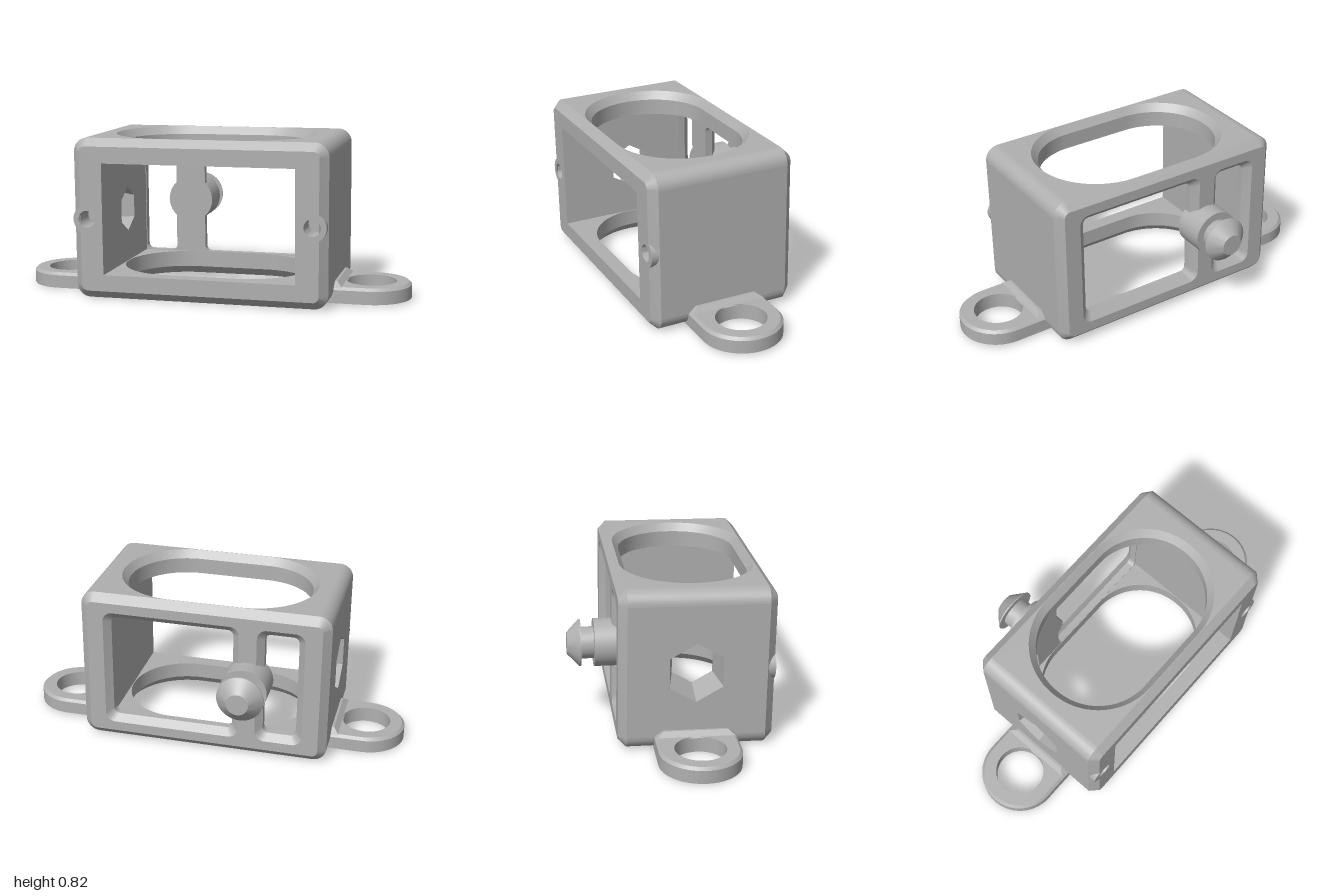
import * as THREE from 'three';
import { toCreasedNormals } from 'three/addons/utils/BufferGeometryUtils.js';

// Housing half sizes, z ends, chamfer, corner radius; cavity half sizes
const W = 0.64, H = 0.4025, ZF = 0.483, ZB = -0.273, C = 0.04, R = 0.07;
const CW = 0.485, CH = 0.28, ZI = -0.2;

const V = (x, y) => new THREE.Vector2(x, y);

// Arc points around a centre
function arc(cx, cy, r, a0, a1, n = 8) {
  return Array.from({ length: n + 1 }, (_, i) => {
    const a = a0 + (a1 - a0) * i / n;
    return V(cx + r * Math.cos(a), cy + r * Math.sin(a));
  });
}

// Rounded rectangle loop, counter-clockwise
function rect(x0, x1, y0, y1, r = 0, n = 8) {
  if (r === 0) return [V(x0, y0), V(x1, y0), V(x1, y1), V(x0, y1)];
  const q = Math.PI / 2;
  return [
    ...arc(x0 + r, y0 + r, r, 2 * q, 3 * q, n), ...arc(x1 - r, y0 + r, r, 3 * q, 4 * q, n),
    ...arc(x1 - r, y1 - r, r, 0, q, n), ...arc(x0 + r, y1 - r, r, q, 2 * q, n),
  ];
}

// Flat panel with holes at depth z
function face(outline, holes, z) {
  const s = new THREE.Shape(outline);
  s.holes = holes.map(h => new THREE.Path(h));
  return new THREE.ShapeGeometry(s).translate(0, 0, z);
}

// Strip joining two loops of equal point count
function band(a, za, b, zb, closed = true) {
  const p = [], n = a.length;
  for (let i = 0; i < (closed ? n : n - 1); i++) {
    const j = (i + 1) % n;
    p.push(a[i].x, a[i].y, za, a[j].x, a[j].y, za, b[j].x, b[j].y, zb);
    p.push(a[i].x, a[i].y, za, b[j].x, b[j].y, zb, b[i].x, b[i].y, zb);
  }
  const g = new THREE.BufferGeometry();
  g.setAttribute('position', new THREE.Float32BufferAttribute(p, 3));
  return g;
}

export function createModel() {
  const grey = new THREE.MeshStandardMaterial({ color: 0xb0b0b0, side: THREE.DoubleSide });
  grey.name = 'grey plastic';
  const model = new THREE.Group();
  model.name = 'bracketHousing';

  const part = (parent, name, geos, orient = g => g) => {
    const group = new THREE.Group();
    group.name = name;
    for (const g of geos) {
      const mesh = new THREE.Mesh(toCreasedNormals(orient(g), 0.5), grey);
      mesh.name = name + 'Surface';
      group.add(mesh);
    }
    parent.add(group);
    return group;
  };

  const box = new THREE.Group();
  box.name = 'housing';
  box.position.y = 0.4075;
  model.add(box);
  const outer = rect(-W, W, -H, H, R), inset = rect(-W + C, W - C, -H + C, H - C, R - C);

  // Front frame, notched where the screw bosses sit
  const bx = 0.567, br = 0.069, na = Math.acos((W - C - bx) / br);
  const ix = W - C, iy = H - C, q = Math.PI / 2, cr = R - C;
  const frontOutline = [
    ...arc(-ix + cr, -iy + cr, cr, 2 * q, 3 * q), ...arc(ix - cr, -iy + cr, cr, 3 * q, 4 * q),
    ...arc(bx, 0, br, -na, na - 4 * q, 24),
    ...arc(ix - cr, iy - cr, cr, 0, q), ...arc(-ix + cr, iy - cr, cr, q, 2 * q),
    ...arc(-bx, 0, br, 2 * q - na, na - 2 * q, 24),
  ];
  part(box, 'frontFrame', [
    face(frontOutline, [rect(-CW, CW, -CH, CH)], ZF),
    band(outer, ZF - C, inset, ZF),
  ]);

  // Screw bosses with pilot holes
  for (const s of [-1, 1]) {
    const profile = [V(0, 0.35), V(0.042, 0.35), V(0.042, ZF), V(0.07, ZF), V(0.07, 0.4)];
    part(box, s > 0 ? 'leftScrewBoss' : 'rightScrewBoss', [new THREE.LatheGeometry(profile, 32)],
      g => g.rotateX(Math.PI / 2).translate(s * bx, 0, 0));
  }

  // Back frame: two bevelled windows separated by a post
  const windows = [[-0.482, -0.31], [-0.15, 0.482]];
  const win = (e, r) => windows.map(([a, b]) => rect(a - e, b + e, -CH + 0.003 - e, CH - 0.003 + e, r));
  const small = win(0, 0.03), large = win(0.035, 0.05);
  part(box, 'backFrame', [
    face(inset, large, ZB),
    band(inset, ZB, outer, ZB + C),
    face(rect(-CW, CW, -CH, CH), small, ZI),
    ...small.flatMap((w, i) => [band(large[i], ZB, w, ZB + 0.035), band(w, ZB + 0.035, w, ZI)]),
  ]);

  // Peg with neck and conical head
  const peg = [V(0, 0.2), V(0.12, 0.2), V(0.12, 0.362), V(0.08, 0.362), V(0.08, 0.427),
    V(0.118, 0.427), V(0.118, 0.434), V(0.055, 0.495), V(0, 0.495)];
  part(box, 'peg', [new THREE.LatheGeometry(peg, 40)],
    g => g.rotateX(-Math.PI / 2).translate(-0.23, 0.007, 0));

  // Top and bottom walls with bevelled oval openings
  const oval = e => rect(-0.481 - e, 0.481 + e, -0.408 - e, 0.198 + e, 0.298 + e, 20);
  const ovalIn = oval(0), ovalOut = oval(0.032);
  const wall = [
    [rect(-W + R, W - R, -ZF + C, -ZB - C), ovalOut, H],
    [rect(-CW, CW, -ZF, -ZI), ovalIn, CH],
  ];
  for (const s of [1, -1]) {
    part(box, s > 0 ? 'topWall' : 'bottomWall', [
      ...wall.map(([o, h, z]) => face(o, [h], z)),
      band(ovalOut, H, ovalIn, H - 0.04), band(ovalIn, H - 0.04, ovalIn, CH),
    ], g => {
      g.rotateX(-Math.PI / 2);
      return s > 0 ? g : g.rotateZ(Math.PI);
    });
  }

  // Side walls; the right one has a tapered six-sided hole
  for (const s of [1, -1]) {
    const span = (a, b, h) => (s > 0 ? rect(-b, -a, -h, h) : rect(a, b, -h, h));
    const hex = r => arc(0.1, -0.005, r, Math.PI / 6, Math.PI / 6 + 5 * Math.PI / 3, 5);
    const hole = s < 0;
    part(box, hole ? 'rightWall' : 'leftWall', [
      face(span(ZB + C, ZF - C, H - R), hole ? [hex(0.15)] : [], W),
      face(span(ZI, ZF, CH), hole ? [hex(0.115)] : [], CW),
      ...(hole ? [band(hex(0.15), W, hex(0.115), CW)] : []),
    ], g => g.rotateY(s * Math.PI / 2));
  }

  // Rounded long edges
  for (const sx of [-1, 1]) for (const sy of [-1, 1]) {
    const a = arc(0, 0, R, 0, q).map(p => V(sx * (W - R + p.x), sy * (H - R + p.y)));
    part(box, 'roundedEdge', [band(a, ZF - C, a, ZB + C, false)]);
  }

  // Mounting ears: ring plate plus a sloped root against the housing
  for (const s of [1, -1]) {
    const tab = r => [V(0.56, -r), ...arc(0.8, 0, r, -q, q, 32), V(0.56, r)];
    const ring = arc(0.8, 0, 0.125, 0, 2 * Math.PI, 40).slice(0, -1);
    const rim = tab(0.2), top = tab(0.186);
    const root0 = rect(0.6, 0.682, -0.195, 0.195), root1 = rect(0.6, 0.652, -0.158, 0.158);
    part(model, s > 0 ? 'leftEar' : 'rightEar', [
      face(rim, [ring], 0.005), face(top, [ring], 0.085),
      band(rim, 0.005, rim, 0.071), band(rim, 0.071, top, 0.085),
      band(ring, 0.005, ring, 0.085),
      band(root0, 0.08, root1, 0.108), face(root1, [], 0.108),
    ], g => {
      g.rotateX(-Math.PI / 2);
      if (s < 0) g.rotateY(Math.PI);
      return g.translate(0, 0, 0.1);
    });
  }

  // Slight resting tilt
  model.rotation.set(0.013, 0, 0.004);
  model.position.y = 0.005;
  const root = new THREE.Group();
  root.name = 'model';
  root.add(model);
  return root;
}
